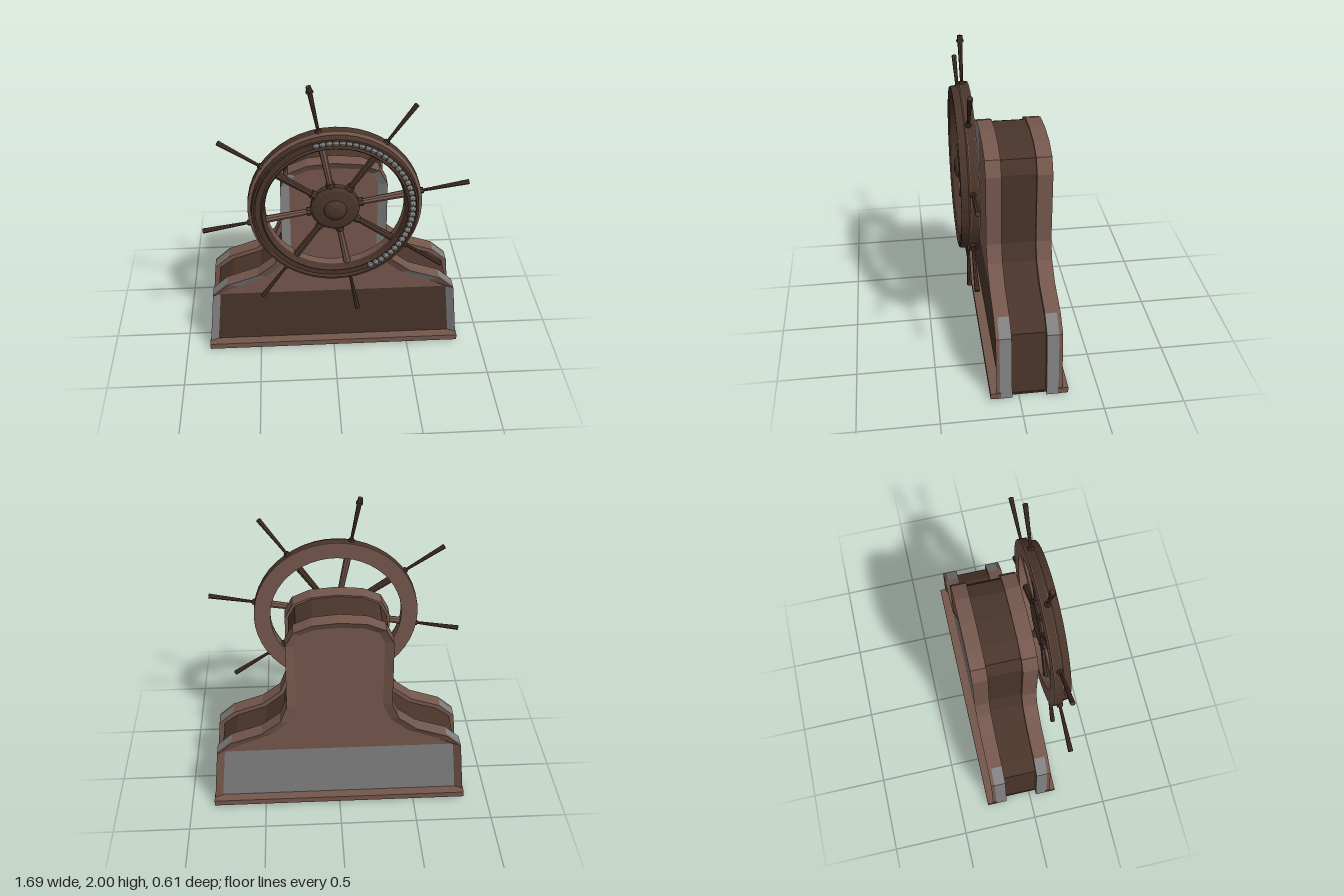
import * as THREE from 'three';

const mat = (color) => new THREE.MeshStandardMaterial({ color, flatShading: true, roughness: 0.8, side: THREE.DoubleSide });
const light = mat(0x74574c), dark = mat(0x49342a), grey = mat(0x808080);

// Half outlines (+x side), from the bottom corner up to the middle of the arch
const OUTER = [[.845, .01], [.80, .44], [.70, .53], [.50, .60], [.38, .695], [.335, .81], [.33, 1.28], [.28, 1.375], [.165, 1.425], [0, 1.44]];
const INNER = [[.79, .05], [.75, .44], [.63, .50], [.44, .575], [.33, .67], [.275, .80], [.275, 1.27], [.24, 1.345], [.15, 1.38], [0, 1.39]];
const MIDDLE = [[.805, .01], [.765, .44], [.67, .51], [.48, .575], [.355, .68], [.315, .80], [.31, 1.28], [.265, 1.365], [.16, 1.415], [0, 1.43]];

const mirror = (half) => [...half, ...half.slice(0, -1).reverse().map(([x, y]) => [-x, y])];
const shapeOf = (pts) => new THREE.Shape(pts.map(([x, y]) => new THREE.Vector2(x, y)));

function add(parent, name, geometry, material, x = 0, y = 0, z = 0) {
  const mesh = new THREE.Mesh(geometry, material);
  mesh.name = name;
  mesh.position.set(x, y, z);
  parent.add(mesh);
  return mesh;
}

// Band of quads between two closed outlines; keep(i) picks the segments
function band(a, za, b, zb, keep = () => true) {
  const v = [], n = a.length;
  for (let i = 0; i < n; i++) {
    if (!keep(Math.min(i, n - 2 - i))) continue; // same index on both mirrored sides
    const j = (i + 1) % n;
    const p = [...a[i], za], q = [...a[j], za], r = [...b[j], zb], s = [...b[i], zb];
    v.push(...p, ...q, ...r, ...p, ...r, ...s);
  }
  const g = new THREE.BufferGeometry();
  g.setAttribute('position', new THREE.Float32BufferAttribute(v, 3));
  g.computeVertexNormals();
  return g;
}

// One framed face of the pedestal, facing +z
function framedFace(name, lowerMaterial, greyRim) {
  const g = new THREE.Group();
  g.name = name;
  const o = mirror(OUTER), inn = mirror(INNER);
  const z0 = .1075, z1 = .182, z2 = .205, zp = .18;
  const isSide = (i) => i === 0 || i === 1;
  add(g, 'frameEdgeGrey', band(o, z0, o, z1, isSide), grey);
  add(g, 'frameEdge', band(o, z0, o, z1, (i) => !isSide(i)), light);
  add(g, 'frameLip', band(o, z1, o, z2), light);
  add(g, 'rim', band(o, z2, inn, zp, (i) => !greyRim.includes(i)), light);
  if (greyRim.length) add(g, 'rimGrey', band(o, z2, inn, zp, (i) => greyRim.includes(i)), grey);
  const back = shapeOf(o);
  add(g, 'frameBack', new THREE.ShapeGeometry(back), light, 0, 0, z0);
  add(g, 'upperPanel', new THREE.ShapeGeometry(shapeOf(mirror(INNER.slice(1)))), light, 0, 0, zp);
  const [c, d] = INNER;
  add(g, 'lowerPanel', new THREE.ShapeGeometry(shapeOf([[-c[0], c[1]], c, d, [-d[0], d[1]]])), lowerMaterial, 0, 0, zp);
  add(g, 'baseMoulding', new THREE.BoxGeometry(1.69, .04, .065), light, 0, .032, .21);
  return g;
}

function pedestal() {
  const g = new THREE.Group();
  g.name = 'pedestal';
  g.position.z = -.0625;
  const core = new THREE.ExtrudeGeometry(shapeOf(mirror(MIDDLE)), { depth: .23, bevelEnabled: false });
  add(g, 'core', core, dark, 0, 0, -.115);
  add(g, 'underside', new THREE.BoxGeometry(1.62, .012, .34), dark, 0, .006, 0);
  const back = framedFace('backFace', grey, []);
  back.rotation.y = Math.PI;
  g.add(framedFace('frontFace', dark, [0, 2, 5, 6]), back);
  return g;
}

// Lathe about z from [radius, z] points
function turned(points, segments) {
  return new THREE.LatheGeometry(points.map(([r, z]) => new THREE.Vector2(r, z)), segments).rotateX(Math.PI / 2);
}

function wheel() {
  const g = new THREE.Group();
  g.name = 'wheel';
  g.position.y = 1.19;
  // Rim: flat back ring with a grooved raised ring in front
  add(g, 'rimBack', turned([[.425, .25], [.425, .195], [.53, .195], [.53, .25], [.512, .258], [.425, .25]], 48), light);
  add(g, 'rimOuterBand', turned([[.531, .2], [.531, .245]], 48), dark);
  add(g, 'rimFront', turned([[.425, .25], [.432, .285], [.442, .298], [.453, .285], [.485, .285], [.493, .302], [.505, .302], [.512, .25]], 48), dark);

  // Hub with a small dome
  add(g, 'hub', turned([[0, .205], [.14, .205], [.15, .215], [.15, .255], [.13, .268], [.07, .278], [.06, .29], [.035, .302], [0, .305]], 24), dark);

  // Eight spokes with handles outside the rim
  for (let i = 0; i < 8; i++) {
    const s = new THREE.Group();
    s.name = 'spoke';
    s.rotation.z = THREE.MathUtils.degToRad(10.5 + 45 * i);
    const rod = (name, r0, r1, w0, w1, m = dark) =>
      add(s, name, new THREE.CylinderGeometry(w1, w0, r1 - r0, 8).rotateZ(-Math.PI / 2), m, (r0 + r1) / 2, 0, .235);
    rod('spokeRod', .14, .44, .018, .024, i % 2 ? dark : light);
    rod('hubCollar', .145, .175, .027, .027);
    rod('rimCollar', .525, .545, .022, .018);
    rod('handle', .54, .825, .009, .016);
    if (i === 2) { // king spoke
      rod('handleRing', .785, .797, .022, .022);
      rod('handleTip', .80, .825, .019, .012);
    }
    g.add(s);
  }

  // Beads along part of the groove
  const bead = new THREE.SphereGeometry(.02, 8, 6);
  const count = 36;
  for (let i = 0; i < count; i++) {
    const a = THREE.MathUtils.degToRad(104 - 166 * i / (count - 1));
    const b = add(g, 'bead', bead, grey, .472 * Math.cos(a), .472 * Math.sin(a), .283);
    b.rotation.z = a;
    b.scale.set(1.15, .95, .95);
  }
  return g;
}

export function createModel() {
  const model = new THREE.Group();
  model.name = 'wheelOnPedestal';
  model.add(pedestal(), wheel());
  return model;
}
